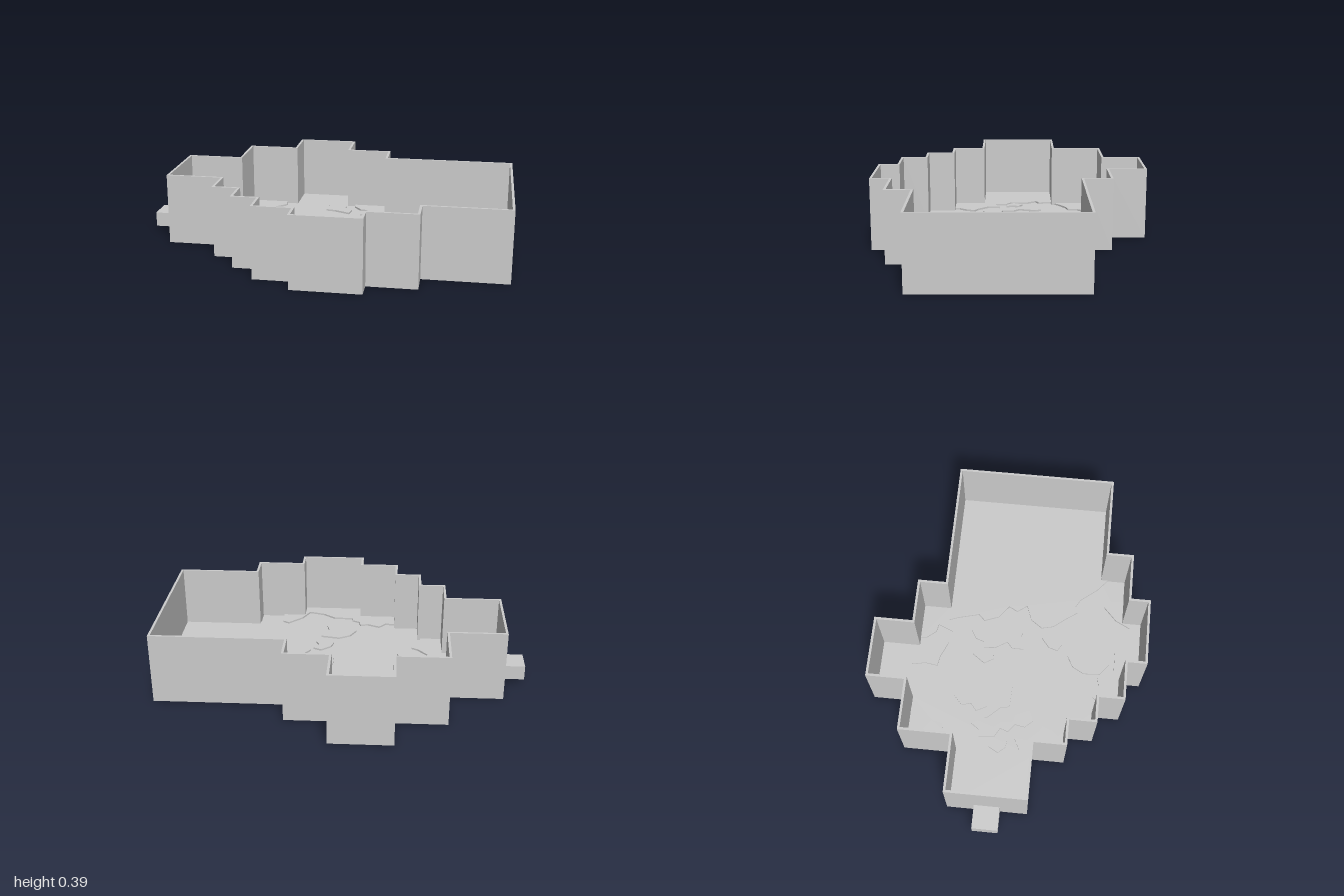
import * as THREE from 'three';

const WALL_TOP = 0.39, WALL = 0.013, POND_Y = 0.037, LAND_Y = 0.047;

// Stepped outline of the tray as [x, z] corners
const OUTLINE = [
  [1, -0.383], [1, 0.5], [0.548, 0.5], [0.548, 0.639], [0.285, 0.639], [0.285, 0.745],
  [-0.085, 0.745], [-0.085, 0.639], [-0.294, 0.639], [-0.294, 0.5], [-0.432, 0.5], [-0.432, 0.352],
  [-0.57, 0.352], [-0.57, 0.177], [-0.875, 0.177], [-0.875, -0.26], [-0.57, -0.26], [-0.57, -0.537],
  [-0.294, -0.537], [-0.294, -0.745], [0.043, -0.745], [0.043, -0.537], [0.285, -0.537], [0.285, -0.383],
];

// Shore lines; the parts along the walls stay just inside them
const WEST = [
  [-0.345, -0.53], [-0.34, -0.47], [-0.41, -0.4], [-0.42, -0.34], [-0.465, -0.33], [-0.53, -0.29],
  [-0.59, -0.24], [-0.58, -0.17], [-0.615, -0.15], [-0.58, -0.1], [-0.58, 0], [-0.54, 0.03],
  [-0.53, 0.1], [-0.47, 0.07], [-0.475, 0.14], [-0.42, 0.2], [-0.385, 0.22], [-0.405, 0.27],
  [-0.435, 0.31], [-0.435, 0.345], [-0.565, 0.345], [-0.565, 0.17], [-0.87, 0.17], [-0.87, -0.255],
  [-0.565, -0.255], [-0.565, -0.53],
];
const EAST = [
  [0.075, -0.53], [0.08, -0.49], [0.12, -0.44], [0.165, -0.43], [0.13, -0.345], [0.2, -0.375],
  [0.22, -0.32], [0.25, -0.205], [0.215, -0.17], [0.245, -0.09], [0.315, -0.035], [0.29, 0.015],
  [0.33, 0.07], [0.245, 0.1], [0.2, 0.165], [0.215, 0.23], [0.27, 0.3], [0.315, 0.365],
  [0.35, 0.35], [0.395, 0.375], [0.47, 0.47], [0.54, 0.53], [0.54, 0.495], [0.995, 0.495],
  [0.995, -0.378], [0.28, -0.378], [0.28, -0.53],
];
const SOUTH = [
  [-0.287, 0.52], [-0.23, 0.53], [-0.19, 0.485], [-0.12, 0.515], [-0.075, 0.505], [-0.065, 0.545],
  [-0.025, 0.565], [-0.02, 0.595], [0.085, 0.595], [0.155, 0.645], [0.245, 0.67], [0.285, 0.59],
  [0.365, 0.515], [0.4, 0.535], [0.405, 0.633], [0.28, 0.633], [0.28, 0.74], [-0.08, 0.74],
  [-0.08, 0.633], [-0.287, 0.633],
];

const ISLANDS = {
  largeIsland: [
    [-0.2, -0.3], [-0.135, -0.28], [-0.12, -0.25], [-0.06, -0.25], [-0.045, -0.185], [-0.065, -0.14],
    [-0.1, -0.08], [-0.15, -0.02], [-0.16, 0.03], [-0.29, 0.025], [-0.3, -0.025], [-0.365, -0.095],
    [-0.365, -0.11], [-0.3, -0.1], [-0.33, -0.16], [-0.29, -0.195], [-0.305, -0.245], [-0.255, -0.29],
  ],
  northIsland: [
    [-0.05, -0.57], [0.03, -0.49], [0.025, -0.46], [0.07, -0.415], [0.06, -0.36], [-0.03, -0.4],
    [-0.085, -0.41], [-0.075, -0.48], [-0.09, -0.55],
  ],
  smallIsland: [[0.005, -0.215], [0.045, -0.14], [0.025, -0.095], [-0.015, -0.095], [-0.045, -0.145]],
  eastIsland: [
    [0.145, -0.235], [0.17, -0.185], [0.16, -0.115], [0.225, -0.065], [0.23, 0.04], [0.165, 0.06],
    [0.13, 0.05], [0.06, 0.07], [0.06, 0.005], [0.095, -0.025], [0.055, -0.09], [0.05, -0.155],
    [0.085, -0.16], [0.1, -0.205],
  ],
  southEastIsland: [
    [0.14, 0.17], [0.185, 0.19], [0.155, 0.23], [0.175, 0.27], [0.11, 0.29], [0.07, 0.265], [0.085, 0.215],
  ],
  southIsland: [
    [0.045, 0.325], [0.15, 0.345], [0.11, 0.43], [0.125, 0.485], [0.075, 0.54], [0.01, 0.565],
    [-0.05, 0.515], [-0.055, 0.425], [-0.02, 0.36],
  ],
  crescentIsland: [
    [-0.405, -0.18], [-0.385, -0.145], [-0.415, -0.05], [-0.38, -0.015], [-0.375, 0.05], [-0.335, 0.06],
    [-0.3, 0.14], [-0.36, 0.165], [-0.4, 0.12], [-0.39, 0.065], [-0.435, 0.03], [-0.42, -0.015],
    [-0.47, -0.045], [-0.48, -0.13], [-0.44, -0.13],
  ],
  westIsland: [[-0.53, -0.07], [-0.49, -0.045], [-0.5, 0], [-0.485, 0.03], [-0.525, 0.025], [-0.56, -0.015]],
};

// Offset a right-angled outline inwards
function inset(points, t) {
  const n = points.length;
  const normal = (a, b) => [-Math.sign(b[1] - a[1]), Math.sign(b[0] - a[0])];
  return points.map((p, i) => {
    const m = normal(points[(i + n - 1) % n], p);
    const k = normal(p, points[(i + 1) % n]);
    return [p[0] + t * (m[0] + k[0]), p[1] + t * (m[1] + k[1])];
  });
}

const toVectors = (points) => points.map(([x, z]) => new THREE.Vector2(x, -z));

export function createModel() {
  const group = new THREE.Group();
  const material = new THREE.MeshStandardMaterial({ color: 0xcccccc, flatShading: true });

  // Upright slab between two heights, with an optional hole wound the other way
  function slab(name, points, y0, y1, hole) {
    const shape = new THREE.Shape(toVectors(points));
    if (hole) shape.holes.push(new THREE.Path(toVectors(hole).reverse()));
    const geometry = new THREE.ExtrudeGeometry(shape, { depth: y1 - y0, bevelEnabled: false });
    geometry.rotateX(-Math.PI / 2).translate(0, y0, 0);
    const mesh = new THREE.Mesh(geometry, material);
    mesh.name = name;
    group.add(mesh);
  }

  // Tray: thin stepped wall around the pond bed
  const inner = inset(OUTLINE, WALL);
  slab('wall', OUTLINE, 0, WALL_TOP, inner);
  slab('pondBed', inner, 0, POND_Y);

  // Raised ground around the pond and islands in it
  slab('westLand', WEST, POND_Y, LAND_Y);
  slab('eastLand', EAST, POND_Y, LAND_Y);
  slab('southLand', SOUTH, POND_Y, LAND_Y);
  for (const [name, points] of Object.entries(ISLANDS)) slab(name, points, POND_Y, LAND_Y);

  // Small block sticking out of the narrow end
  const block = new THREE.Mesh(new THREE.BoxGeometry(0.13, 0.08, 0.14), material);
  block.name = 'endBlock';
  block.position.set(-0.935, 0.08, -0.04);
  group.add(block);

  return group;
}
